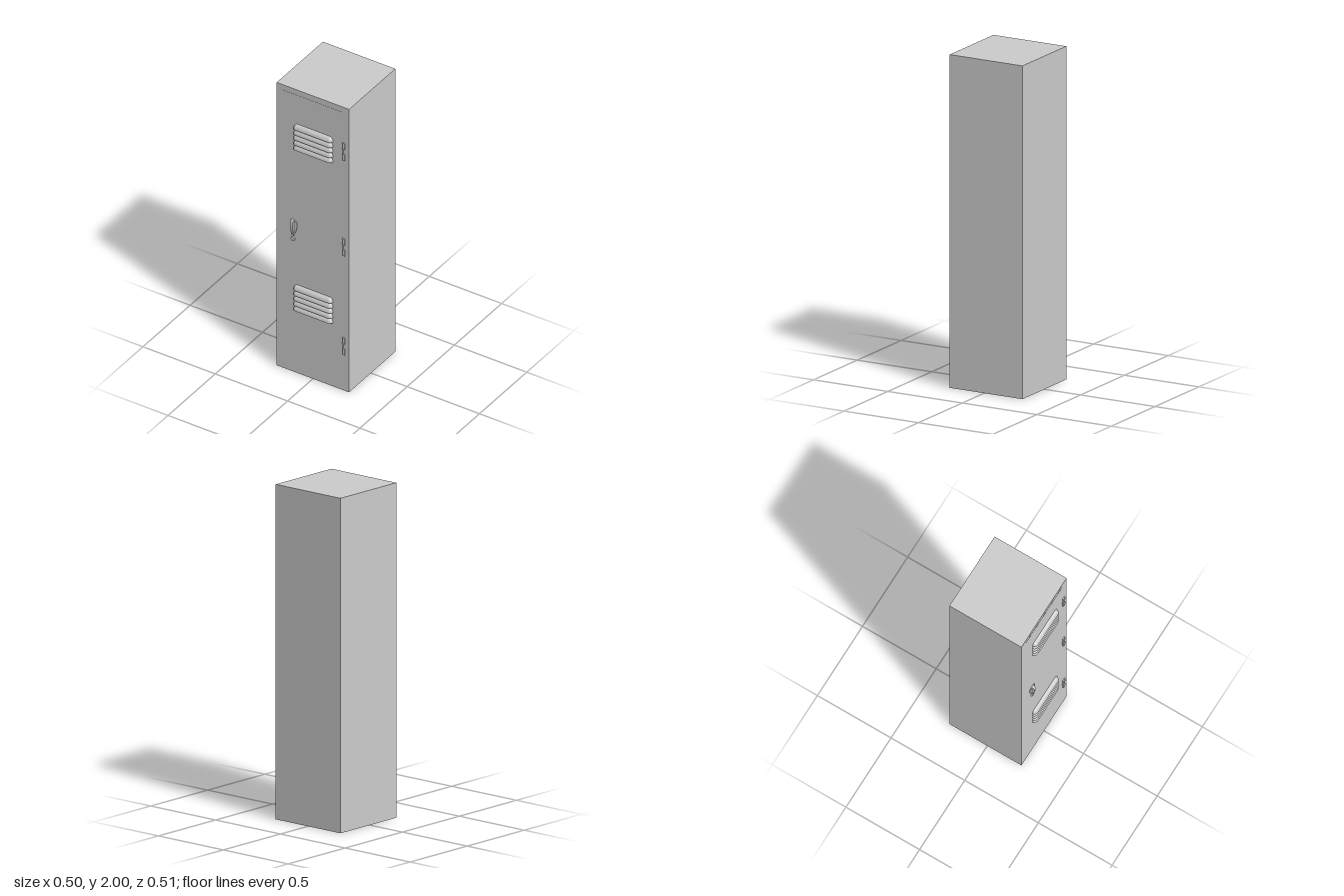
import * as THREE from 'three';
import { ParametricGeometry } from 'three/addons/geometries/ParametricGeometry.js';

const FRONT = 0.232;
const BACK = -0.257;
const material = new THREE.MeshStandardMaterial({ color: 0xcccccc });
const shellMaterial = new THREE.MeshStandardMaterial({ color: 0xcccccc, side: THREE.DoubleSide });

function add(parent, name, geometry, x, y, z, mat = material) {
  const mesh = new THREE.Mesh(geometry, mat);
  mesh.name = name;
  mesh.position.set(x, y, z);
  parent.add(mesh);
  return mesh;
}

// Louvre hood: quarter-round profile with rounded ends, open underneath
function louvreGeometry(halfLength, endRadius, height, depth) {
  const endSteps = 6, columns = endSteps * 2 + 1;
  const geometry = new ParametricGeometry((u, v, target) => {
    const i = Math.round(u * columns);
    const left = i <= endSteps;
    const a = ((left ? i : i - 1) / endSteps) * Math.PI / 2;
    const b = v * Math.PI / 2;
    target.set(
      (left ? -1 : 1) * (halfLength - endRadius) - Math.cos(a) * Math.cos(b) * endRadius,
      Math.sin(b) * height,
      Math.sin(a) * Math.cos(b) * depth
    );
  }, columns, 8);
  geometry.computeVertexNormals();
  return geometry;
}

function createVent(bottom) {
  const vent = new THREE.Group();
  vent.name = 'vent';
  const hood = louvreGeometry(0.135, 0.024, 0.031, 0.024);
  for (let i = 0; i < 5; i++) add(vent, 'louvre', hood, 0.005, bottom + i * 0.0358, FRONT, shellMaterial);
  return vent;
}

// Hinge: barrel with interlocking leaves on either side
function createHinge(y) {
  const hinge = new THREE.Group();
  hinge.name = 'hinge';
  hinge.position.set(0.209, y, FRONT);
  add(hinge, 'hingeBarrel', new THREE.CylinderGeometry(0.005, 0.005, 0.12, 12), 0, 0, 0.004);
  const frameLeaf = new THREE.BoxGeometry(0.015, 0.042, 0.006);
  for (const s of [-1, 1]) add(hinge, 'frameLeaf', frameLeaf, 0.0075, s * 0.039, 0.004);
  add(hinge, 'doorLeaf', new THREE.BoxGeometry(0.009, 0.036, 0.003), -0.0045, 0, 0.0015);
  return hinge;
}

// Latch: teardrop plate, bowed grip and round lock below
function createLatch() {
  const latch = new THREE.Group();
  latch.name = 'latch';
  latch.position.set(-0.135, 0, FRONT);

  const plate = new THREE.Shape();
  plate.moveTo(0, 0.962);
  plate.bezierCurveTo(0.012, 0.98, 0.028, 1.01, 0.028, 1.045);
  plate.bezierCurveTo(0.028, 1.088, -0.028, 1.088, -0.028, 1.045);
  plate.bezierCurveTo(-0.028, 1.01, -0.012, 0.98, 0, 0.962);
  add(latch, 'latchPlate', new THREE.ExtrudeGeometry(plate, { depth: 0.006, bevelEnabled: false, curveSegments: 14 }), 0, 0, 0);

  const grip = new THREE.Shape();
  grip.moveTo(0, 0.968);
  grip.lineTo(0.008, 0.968);
  grip.bezierCurveTo(0.018, 1.0, 0.026, 1.03, 0.02, 1.062);
  grip.quadraticCurveTo(0.018, 1.075, 0.008, 1.076);
  grip.lineTo(0, 1.076);
  const gripGeometry = new THREE.ExtrudeGeometry(grip, { depth: 0.016, bevelEnabled: false, curveSegments: 10 });
  gripGeometry.rotateY(-Math.PI / 2);
  add(latch, 'latchGrip', gripGeometry, 0.008, 0, 0);

  const lock = new THREE.CylinderGeometry(0.013, 0.014, 0.01, 24).rotateX(Math.PI / 2);
  add(latch, 'lock', lock, 0, 0.943, 0.005);
  return latch;
}

export function createModel() {
  const model = new THREE.Group();
  model.name = 'locker';
  add(model, 'cabinet', new THREE.BoxGeometry(0.5, 2, FRONT - BACK), 0, 1, (FRONT + BACK) / 2);
  add(model, 'door', new THREE.BoxGeometry(0.41, 1.926, 0.01), 0, 1, FRONT - 0.004);
  for (const bottom of [0.45, 1.586]) model.add(createVent(bottom));
  for (const y of [0.315, 1.015, 1.69]) model.add(createHinge(y));
  model.add(createLatch());
  return model;
}
